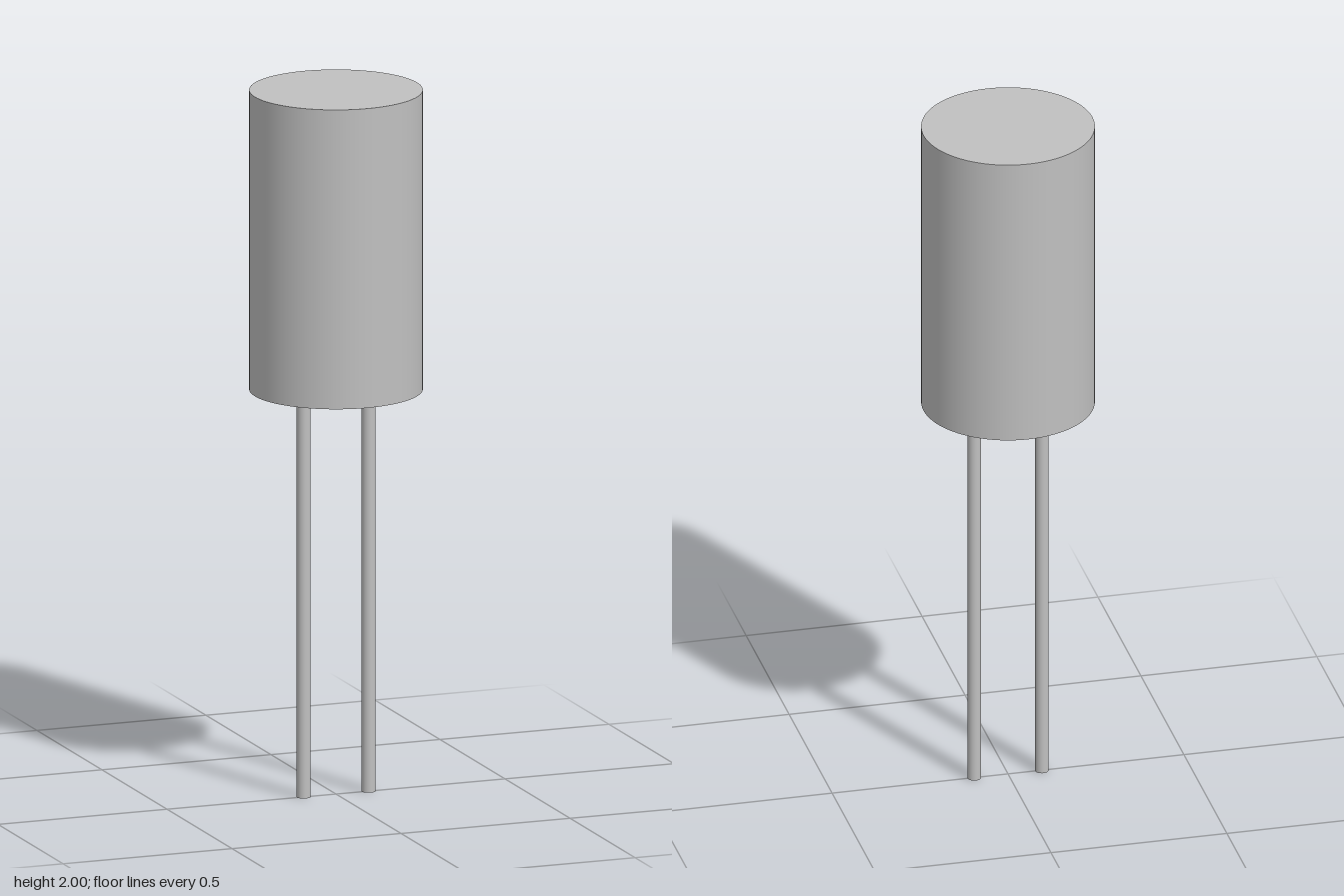
import * as THREE from 'three';

export function createModel() {
  const model = new THREE.Group();
  model.name = 'capacitor';

  const metal = new THREE.MeshStandardMaterial({ color: 0xc0c0c0 });
  metal.name = 'grey metal';

  // Upright cylinder spanning bottom to top
  const addCylinder = (name, radius, bottom, top, x, sides) => {
    const mesh = new THREE.Mesh(
      new THREE.CylinderGeometry(radius, radius, top - bottom, sides), metal);
    mesh.name = name;
    mesh.position.set(x, (bottom + top) / 2, 0);
    model.add(mesh);
  };

  // Can
  addCylinder('body', 0.24, 1.15, 2, 0, 96);

  // Pair of wire leads, ending at the underside of the can
  for (const side of [-1, 1]) {
    addCylinder(side > 0 ? 'leftLead' : 'rightLead', 0.019, 0, 1.15, side * 0.096, 32);
  }

  return model;
}
